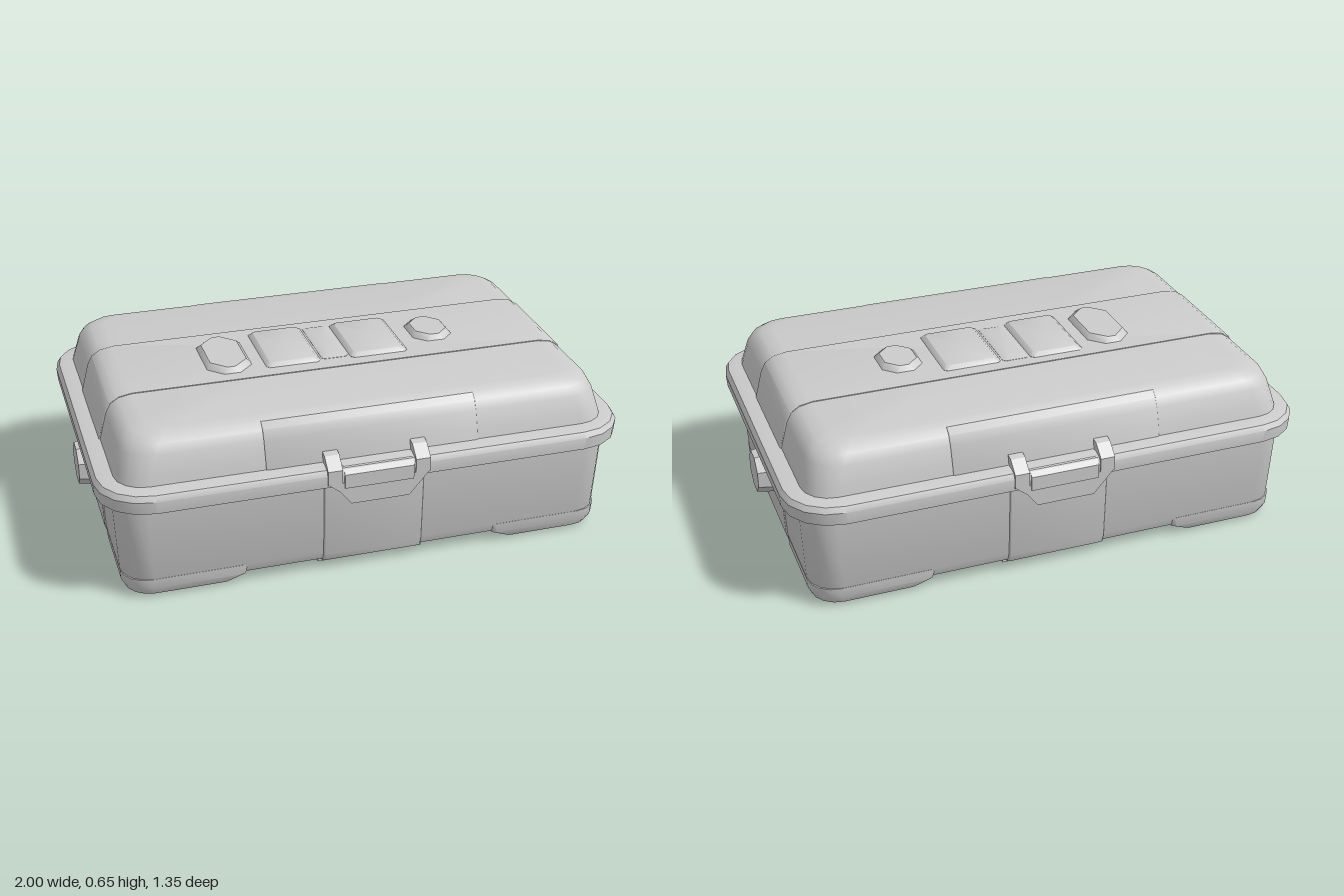
import * as THREE from 'three';
import { toCreasedNormals } from 'three/addons/utils/BufferGeometryUtils.js';

const material = new THREE.MeshStandardMaterial({ color: 0xcccccc });

// Rounded rectangle in the xz plane; radii order: (+x+z), (-x+z), (-x-z), (+x-z)
function roundedRing(x0, x1, z0, z1, radii, segments = 4) {
  const r = Array.isArray(radii) ? radii : [radii, radii, radii, radii];
  const corners = [[x1, z1, -1, -1], [x0, z1, 1, -1], [x0, z0, 1, 1], [x1, z0, -1, 1]];
  const points = [];
  corners.forEach(([x, z, sx, sz], c) => {
    for (let i = 0; i <= segments; i++) {
      const a = (c + i / segments) * Math.PI / 2;
      points.push([x + sx * r[c] + Math.cos(a) * r[c], z + sz * r[c] + Math.sin(a) * r[c]]);
    }
  });
  return points;
}

// Closed loft through rings listed from bottom to top: [{ y, points }]
function loft(rings) {
  const pos = [];
  const n = rings[0].points.length;
  const at = (k, i) => [rings[k].points[i % n][0], rings[k].y, rings[k].points[i % n][1]];
  const middle = k => {
    const p = rings[k].points;
    return [p.reduce((s, q) => s + q[0], 0) / n, rings[k].y, p.reduce((s, q) => s + q[1], 0) / n];
  };
  const last = rings.length - 1;
  for (let i = 0; i < n; i++) {
    for (let k = 0; k < last; k++) {
      pos.push(...at(k, i), ...at(k + 1, i), ...at(k + 1, i + 1));
      pos.push(...at(k, i), ...at(k + 1, i + 1), ...at(k, i + 1));
    }
    pos.push(...middle(0), ...at(0, i), ...at(0, i + 1));
    pos.push(...middle(last), ...at(last, i + 1), ...at(last, i));
  }
  const g = new THREE.BufferGeometry();
  g.setAttribute('position', new THREE.Float32BufferAttribute(pos, 3));
  return toCreasedNormals(g, 0.6);
}

// Centred loft from a profile of [y, halfX, halfZ, cornerRadius]
const shell = profile => loft(profile.map(([y, hx, hz, r]) =>
  ({ y, points: roundedRing(-hx, hx, -hz, hz, r) })));

// Side outline in (z, y) extruded across x and centred on x = 0
function crossPiece(outline, width) {
  const shape = new THREE.Shape(outline.map(([z, y]) => new THREE.Vector2(z, y)));
  const g = new THREE.ExtrudeGeometry(shape, { depth: width, bevelEnabled: false });
  g.translate(0, 0, -width / 2);
  g.rotateY(-Math.PI / 2);
  return toCreasedNormals(g, 0.4);
}

export function createModel() {
  const model = new THREE.Group();
  const add = (name, geometry, parent = model) => {
    const mesh = new THREE.Mesh(geometry, material);
    mesh.name = name;
    parent.add(mesh);
    return mesh;
  };

  // Tapered lower box
  const bodyProfile = [
    [0.033, 0.885, 0.565, 0.1], [0.045, 0.915, 0.592, 0.11],
    [0.08, 0.928, 0.604, 0.11], [0.40, 0.942, 0.614, 0.11],
  ];
  add('body', shell(bodyProfile));

  // Raised centre panels wrapping the body walls
  add('bodyFrontBackPanel', shell(bodyProfile.map(([y, hx, hz]) => [y - 0.006, 0.19, hz + 0.006, 0.006])));
  add('bodySidePanel', shell(bodyProfile.map(([y, hx, hz]) => [y - 0.003, hx + 0.005, 0.2, 0.006])));

  // Four corner feet, leaving a cross-shaped recess under the box
  for (const sx of [1, -1]) for (const sz of [1, -1]) {
    const outer = [[1, 1], [-1, 1], [-1, -1], [1, -1]].map(([a, b]) => (a === sx && b === sz ? 0.1 : 0.02));
    const rows = [
      [0, 0.55, 0.895, 0.225, 0.572], [0.012, 0.54, 0.915, 0.215, 0.592],
      [0.04, 0.48, 0.927, 0.19, 0.603], [0.08, 0.47, 0.929, 0.185, 0.605],
    ];
    add('cornerFoot', loft(rows.map(([y, xa, xb, za, zb]) => ({
      y,
      points: roundedRing(sx > 0 ? xa : -xb, sx > 0 ? xb : -xa, sz > 0 ? za : -zb, sz > 0 ? zb : -za, outer),
    }))));
  }

  // Ribs across the underside
  for (const s of [1, -1]) {
    add('bottomRib', new THREE.BoxGeometry(0.025, 0.025, 1.14)).position.set(s * 0.19, 0.032, 0);
  }

  // Overhanging rim
  add('rim', shell([
    [0.38, 0.975, 0.645, 0.17], [0.388, 0.995, 0.665, 0.19],
    [0.435, 0.998, 0.667, 0.19], [0.455, 0.985, 0.655, 0.18], [0.462, 0.95, 0.625, 0.14],
  ]));

  // Domed lid with a slightly raised lengthwise band
  const lidProfile = [
    [0.45, 0.93, 0.605, 0.11], [0.50, 0.917, 0.593, 0.11], [0.565, 0.9, 0.573, 0.11],
    [0.60, 0.882, 0.555, 0.11], [0.621, 0.85, 0.53, 0.1], [0.63, 0.80, 0.49, 0.08],
  ];
  add('lid', shell(lidProfile));
  add('lidBand', shell(lidProfile.map(([y, hx]) => [y + 0.003, hx + 0.004, 0.21, 0.006])));
  add('lidCrossBand', shell(lidProfile.slice(0, 5).map(([y, hx, hz]) => [y, 0.4, hz + 0.004, 0.006])));

  // Raised chamfered pads on the lid: x0, x1, z0, z1, corner cut, top height
  const pads = [
    [-0.50, -0.32, -0.155, 0.16, 0.055, 0.653], [-0.28, -0.06, -0.17, 0.155, 0.012, 0.648],
    [-0.06, 0.05, -0.16, 0.14, 0.01, 0.64], [0.05, 0.285, -0.16, 0.16, 0.012, 0.648],
    [0.335, 0.50, -0.11, 0.10, 0.045, 0.653],
  ];
  for (const [x0, x1, z0, z1, cut, top] of pads) {
    const ring = (inset, y) => ({
      y, points: roundedRing(x0 + inset, x1 - inset, z0 + inset, z1 - inset, cut, 1),
    });
    add('lidPad', loft([ring(0, 0.62), ring(0.004, 0.634), ring(0.02, top)]));
  }

  // Latch at the front and matching hinge at the back
  for (const [name, turn] of [['frontLatch', 0], ['backHinge', Math.PI]]) {
    const group = new THREE.Group();
    group.name = name;
    group.rotation.y = turn;
    const flap = new THREE.Shape([
      [-0.19, 0.40], [-0.145, 0.365], [-0.105, 0.312], [0.115, 0.312], [0.16, 0.365], [0.19, 0.40],
    ].map(([x, y]) => new THREE.Vector2(x, y)));
    const flapGeometry = new THREE.ExtrudeGeometry(flap, { depth: 0.06, bevelEnabled: false });
    add('flap', flapGeometry.translate(0, 0, 0.61), group);
    add('clasp', crossPiece([[0.58, 0.38], [0.674, 0.38], [0.674, 0.435], [0.65, 0.458], [0.58, 0.465]], 0.26), group);
    for (const s of [1, -1]) {
      const lug = [[0.57, 0.40], [0.672, 0.40], [0.672, 0.455], [0.625, 0.495], [0.57, 0.505]];
      add('lug', crossPiece(lug, 0.055), group).position.x = s * 0.165;
    }
    model.add(group);
  }

  // Octagonal side knobs and small gussets below the rim
  for (const s of [1, -1]) {
    const knob = new THREE.CylinderGeometry(0.08, 0.094, 0.08, 8);
    knob.rotateY(Math.PI / 8).rotateZ(-s * Math.PI / 2);
    add('sideKnob', toCreasedNormals(knob, 0.4)).position.set(s * 0.96, 0.26, 0);
    for (const z of [0.35, -0.35]) {
      const gusset = new THREE.Shape([[0.93, 0.39], [0.93, 0.305], [0.945, 0.305], [0.98, 0.39]]
        .map(([x, y]) => new THREE.Vector2(x, y)));
      const g = new THREE.ExtrudeGeometry(gusset, { depth: 0.035, bevelEnabled: false });
      g.translate(0, 0, -0.0175);
      if (s < 0) g.rotateY(Math.PI);
      add('rimGusset', g).position.z = z;
    }
  }
  return model;
}
